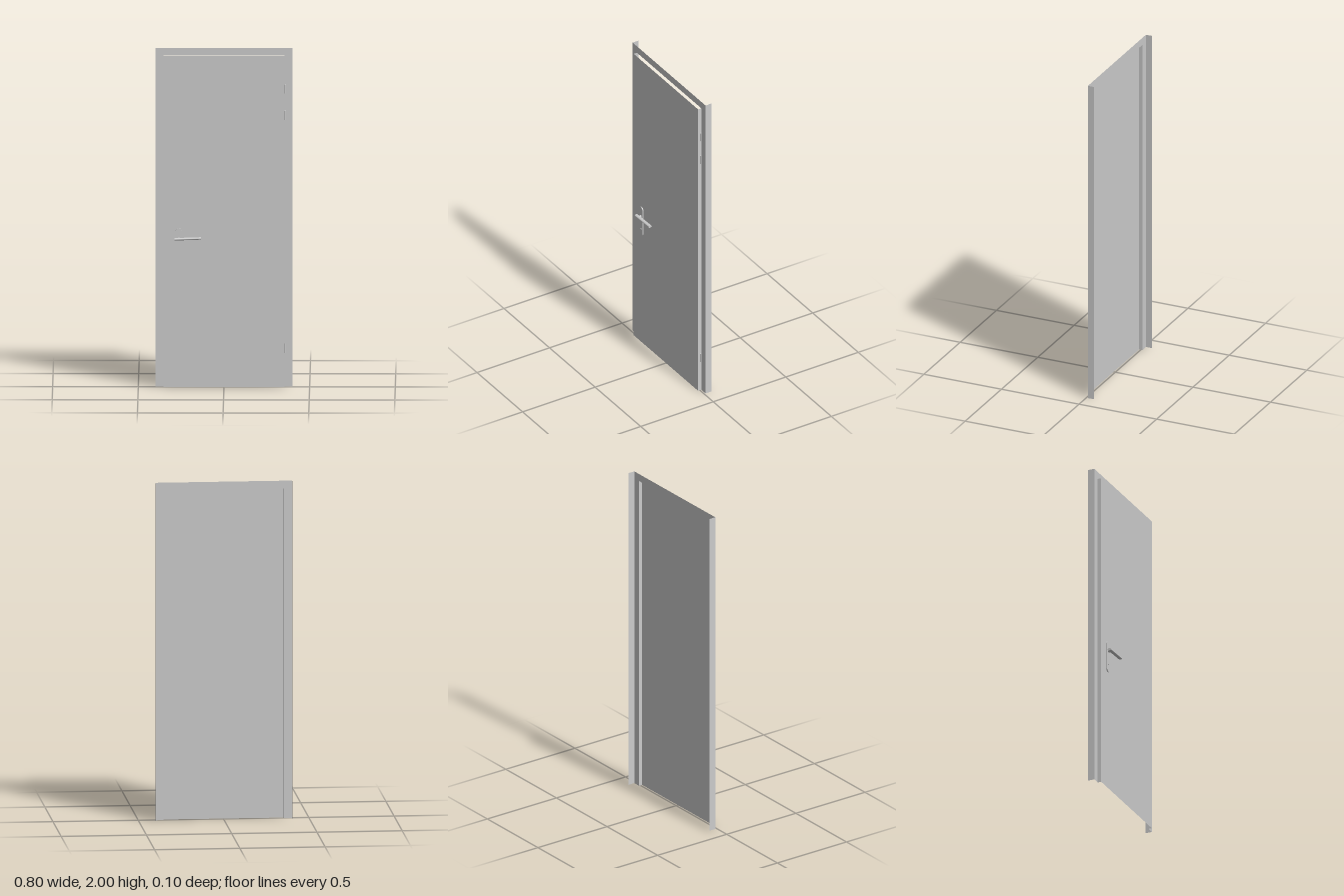
import * as THREE from 'three';

const metal = new THREE.MeshStandardMaterial({ color: 0xcccccc });
const sheet = new THREE.MeshStandardMaterial({ color: 0xcccccc, side: THREE.DoubleSide });

const FRAME_Z = -0.01, BACK_Z = -0.05, DOOR_Z = 0.012;
const HALF_W = 0.4, HEIGHT = 2, DOOR_X = 0.353, DOOR_H = 1.955;

function add(parent, name, geometry, material, x = 0, y = 0, z = 0) {
  const mesh = new THREE.Mesh(geometry, material);
  mesh.name = name;
  mesh.position.set(x, y, z);
  parent.add(mesh);
  return mesh;
}

// Upright thin sheet facing sideways, standing on the floor
function sideSheet(parent, name, x, height, z0, z1) {
  const mesh = add(parent, name, new THREE.PlaneGeometry(Math.abs(z1 - z0), height), sheet, x, height / 2, (z0 + z1) / 2);
  mesh.rotation.y = Math.sign(x) * Math.PI / 2;
}

// Upright pill outline
function pill(width, height) {
  const r = width / 2, h = height / 2 - r;
  const s = new THREE.Shape();
  s.absarc(0, h, r, 0, Math.PI);
  s.absarc(0, -h, r, Math.PI, Math.PI * 2);
  s.closePath();
  return s;
}

export function createModel() {
  const door = new THREE.Group();
  door.name = 'door';

  // Frame: flat U-shaped face with a return along each outer edge
  const frame = new THREE.Group();
  frame.name = 'frame';
  door.add(frame);
  const face = new THREE.Shape([
    [-HALF_W, 0], [-DOOR_X, 0], [-DOOR_X, DOOR_H], [DOOR_X, DOOR_H],
    [DOOR_X, 0], [HALF_W, 0], [HALF_W, HEIGHT], [-HALF_W, HEIGHT],
  ].map(([x, y]) => new THREE.Vector2(x, y)));
  add(frame, 'frameFace', new THREE.ShapeGeometry(face), sheet, 0, 0, FRAME_Z);

  // Leaf: a front panel with folded side edges, open at top and bottom
  const leaf = new THREE.Group();
  leaf.name = 'leaf';
  door.add(leaf);
  add(leaf, 'leafPanel', new THREE.PlaneGeometry(DOOR_X * 2, DOOR_H), sheet, 0, DOOR_H / 2, DOOR_Z);

  for (const [side, s] of [['left', 1], ['right', -1]]) {
    sideSheet(frame, side + 'FrameReturn', s * HALF_W, HEIGHT, BACK_Z, FRAME_Z);
    sideSheet(leaf, side + 'LeafEdge', s * DOOR_X, DOOR_H, FRAME_Z, DOOR_Z);
  }

  // Hinge barrels
  for (const y of [0.228, 1.603, 1.76]) {
    add(door, 'hinge', new THREE.CylinderGeometry(0.005, 0.005, 0.054, 16), metal, 0.358, y, -0.004);
  }

  // Handle: back plate with keyhole, stem and flattened lever
  const handle = new THREE.Group();
  handle.name = 'handle';
  handle.position.set(-0.264, 0, DOOR_Z);
  door.add(handle);
  const plate = pill(0.037, 0.195);
  const hole = new THREE.Path();
  hole.absarc(0, -0.052, 0.004, 0, Math.PI * 2, true);
  plate.holes.push(hole);
  add(handle, 'backPlate', new THREE.ExtrudeGeometry(plate, { depth: 0.006, bevelEnabled: false, curveSegments: 16 }), metal, 0, 0.842, 0);
  const stem = add(handle, 'stem', new THREE.CylinderGeometry(0.008, 0.008, 0.02, 16), metal, 0, 0.877, 0.014);
  stem.rotation.x = Math.PI / 2;

  const leverGeometry = new THREE.CylinderGeometry(0.011, 0.011, 0.155, 24);
  leverGeometry.rotateZ(-Math.PI / 2);
  leverGeometry.scale(1, 0.65, 1);
  const lever = add(handle, 'lever', leverGeometry, metal, 0.052, 0.879, 0.023);
  lever.rotation.z = 0.035;

  return door;
}
